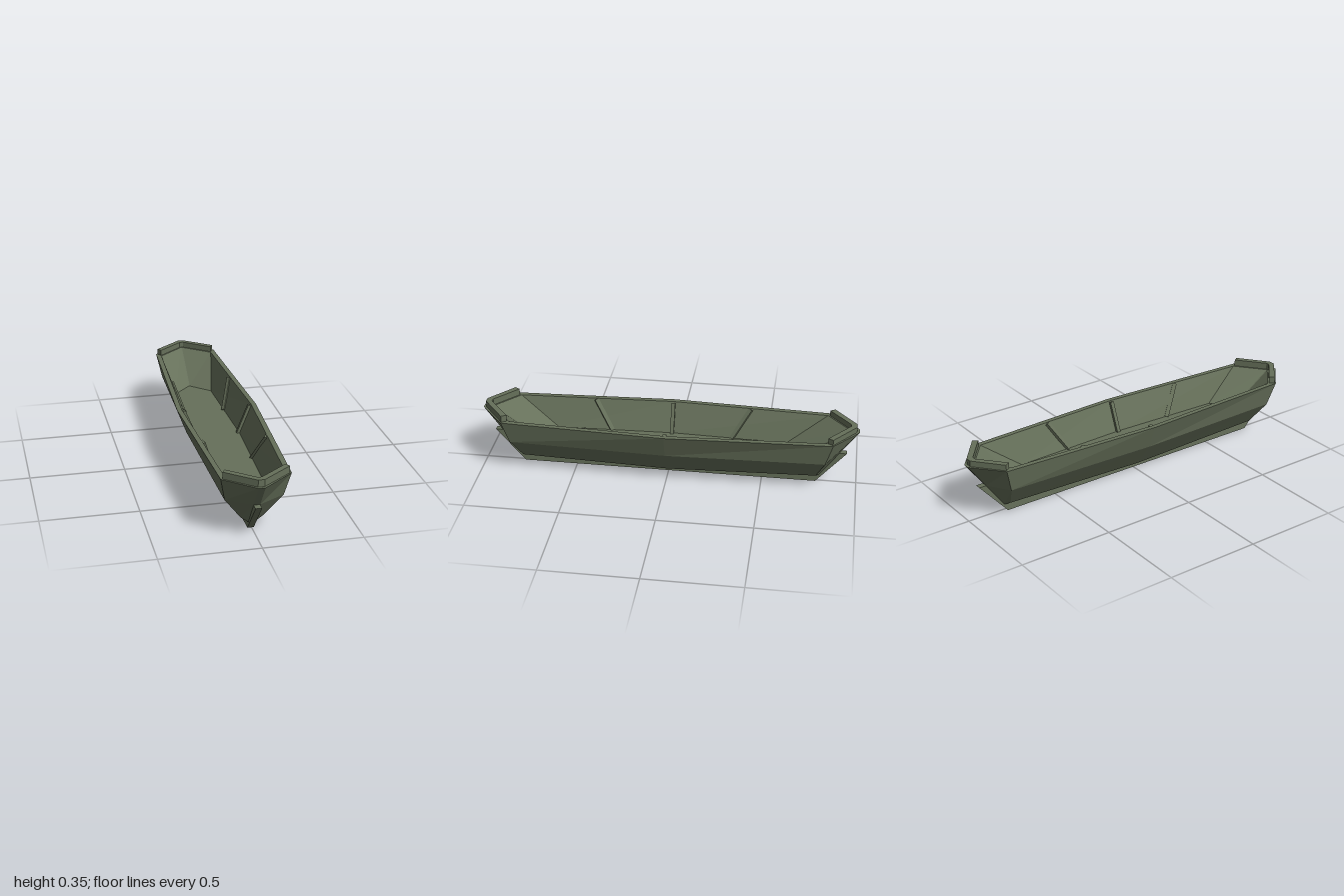
import * as THREE from 'three';

const material = new THREE.MeshStandardMaterial({ color: 0x66705a, flatShading: true });
const CENTRE = -0.005; // slight sideways shift of keel and stems

function addMesh(parent, name, geometry) {
  const mesh = new THREE.Mesh(geometry, material);
  mesh.name = name;
  parent.add(mesh);
  return mesh;
}

// Ten-point boat outline, counter-clockwise from above
function ring({ mid, shoulder, tip, y, shoulderY = y }) {
  const [sx, sz] = shoulder, [tx, tz] = tip;
  return [
    [CENTRE + tx, y, tz], [sx, shoulderY, sz], [mid, y, 0], [sx, shoulderY, -sz], [CENTRE + tx, y, -tz],
    [CENTRE - tx, y, -tz], [-sx, shoulderY, -sz], [-mid, y, 0], [-sx, shoulderY, sz], [CENTRE - tx, y, tz],
  ];
}

// Skin a closed shell through successive rings, capped at both ends
function loft(rings) {
  const pos = [];
  const tri = (...pts) => pts.forEach((p) => pos.push(...p));
  const n = rings[0].length;
  const first = rings[0], last = rings[rings.length - 1];
  const middle = (r) => [CENTRE, r[0][1], 0];
  for (let i = 0; i < n; i++) {
    const j = (i + 1) % n;
    for (let k = 0; k < rings.length - 1; k++) {
      const a = rings[k], b = rings[k + 1];
      tri(a[i], a[j], b[j]);
      tri(a[i], b[j], b[i]);
    }
    tri(middle(first), first[j], first[i]);
    tri(middle(last), last[i], last[j]);
  }
  const g = new THREE.BufferGeometry();
  g.setAttribute('position', new THREE.Float32BufferAttribute(pos, 3));
  g.computeVertexNormals();
  return g;
}

function extrude(points, depth) {
  const shape = new THREE.Shape(points.map(([x, y]) => new THREE.Vector2(x, y)));
  return new THREE.ExtrudeGeometry(shape, { depth, bevelEnabled: false });
}

// Square timber running between two points
function timber(parent, name, from, to, width, depth) {
  const a = new THREE.Vector3(...from), b = new THREE.Vector3(...to);
  const mesh = addMesh(parent, name, new THREE.BoxGeometry(depth, a.distanceTo(b), width));
  mesh.position.copy(a).add(b).multiplyScalar(0.5);
  mesh.quaternion.setFromUnitVectors(new THREE.Vector3(0, 1, 0), b.sub(a).normalize());
}

export function createModel() {
  const model = new THREE.Group();
  model.name = 'boat';

  // Hull: bottom, chine, outer rim, inner rim, floor
  addMesh(model, 'hull', loft([
    ring({ mid: 0.06, shoulder: [0.055, 0.787], tip: [0.016, 0.803], y: 0.04, shoulderY: 0.06 }),
    ring({ mid: 0.163, shoulder: [0.145, 0.832], tip: [0.016, 0.903], y: 0.18, shoulderY: 0.185 }),
    ring({ mid: 0.213, shoulder: [0.172, 0.868], tip: [0.016, 1.0], y: 0.313 }),
    ring({ mid: 0.187, shoulder: [0.147, 0.83], tip: [0.003, 0.95], y: 0.313 }),
    ring({ mid: 0.123, shoulder: [0.102, 0.62], tip: [0.003, 0.72], y: 0.155 }),
  ]));

  // Keel with a raked stem at each end, kept below the floor
  const keel = extrude([
    [-0.785, 0], [0.785, 0], [0.942, 0.18], [0.86, 0.18], [0.76, 0.06],
    [-0.76, 0.06], [-0.86, 0.18], [-0.942, 0.18],
  ], 0.032);
  keel.rotateY(-Math.PI / 2).translate(CENTRE + 0.016, 0, 0);
  addMesh(model, 'keel', keel);

  // Raised V-shaped bulwark at each end
  for (const [name, end, top] of [['frontBulwark', 1, 0.349], ['backBulwark', -1, 0.344]]) {
    const outline = [
      [0.163, 0.866], [CENTRE + 0.016, 0.985], [CENTRE - 0.016, 0.985], [-0.163, 0.866],
      [-0.147, 0.84], [CENTRE - 0.01, 0.953], [CENTRE + 0.01, 0.953], [0.147, 0.84],
    ].map(([x, z]) => [x, -z * end]);
    const bulwark = extrude(outline, top - 0.308);
    bulwark.rotateX(-Math.PI / 2).translate(0, 0.308, 0);
    addMesh(model, name, bulwark);
  }

  // Ribs against the inner walls; the end pairs lean towards the middle
  const ribs = new THREE.Group();
  ribs.name = 'ribs';
  model.add(ribs);
  for (const side of [-1, 1]) {
    timber(ribs, 'middleRib', [side * 0.18, 0.308, 0], [side * 0.117, 0.153, 0], 0.02, 0.022);
    for (const end of [-1, 1]) {
      timber(ribs, 'leaningRib', [side * 0.165, 0.308, end * 0.42], [side * 0.112, 0.153, end * 0.325], 0.02, 0.022);
    }
  }
  return model;
}
